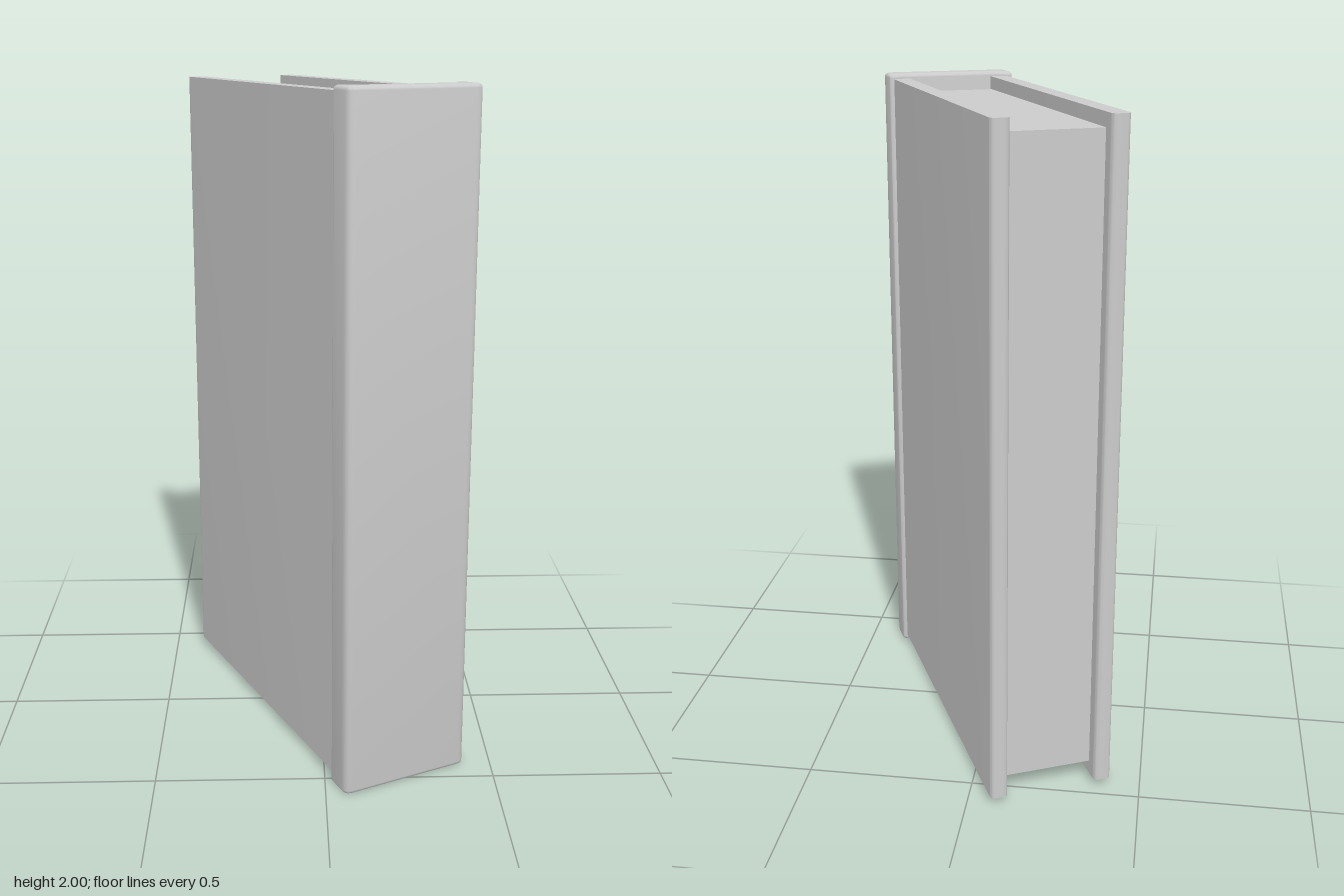
import * as THREE from 'three';
import { toCreasedNormals } from 'three/addons/utils/BufferGeometryUtils.js';

const material = new THREE.MeshStandardMaterial({ color: 0xcccccc });

// Rounded outline in plan: corners are [x, z, radius]
function planShape(corners) {
  const pts = corners.map(([x, z, r]) => ({ p: new THREE.Vector2(x, -z), r }));
  const shape = new THREE.Shape();
  pts.forEach(({ p, r }, i) => {
    const toward = (q) => p.clone().add(q.clone().sub(p).setLength(r));
    const a = toward(pts[(i + pts.length - 1) % pts.length].p);
    const b = toward(pts[(i + 1) % pts.length].p);
    if (i === 0) shape.moveTo(a.x, a.y); else shape.lineTo(a.x, a.y);
    if (r > 0) shape.quadraticCurveTo(p.x, p.y, b.x, b.y);
  });
  shape.closePath();
  return shape;
}

// Upright prism from y0 to y1, with an optional rounded rim
function upright(name, corners, y0, y1, bevel = 0) {
  let geo = new THREE.ExtrudeGeometry(planShape(corners), {
    depth: y1 - y0 - 2 * bevel,
    curveSegments: 5,
    bevelEnabled: bevel > 0,
    bevelSize: bevel,
    bevelThickness: bevel,
    bevelOffset: -bevel,
    bevelSegments: 4,
  });
  geo.rotateX(-Math.PI / 2);
  geo.translate(0, y0 + bevel, 0);
  geo = toCreasedNormals(geo, 0.6);
  const mesh = new THREE.Mesh(geo, material);
  mesh.name = name;
  return mesh;
}

export function createModel() {
  const book = new THREE.Group();
  book.name = 'book';

  // Cover boards, rounded along the fore-edge
  for (const [name, s] of [['leftCover', 1], ['rightCover', -1]]) {
    const corners = [
      [s * 0.135, 0.5, 0],
      [s * 0.188, 0.5, 0],
      [s * 0.188, -0.576, 0.018],
      [s * 0.135, -0.576, 0.018],
    ];
    if (s < 0) corners.reverse();
    book.add(upright(name, corners, 0.02, 1.985));
  }

  // Page block, recessed on three sides
  const pages = new THREE.Mesh(new THREE.BoxGeometry(0.272, 1.885, 1.01), material);
  pages.name = 'pages';
  pages.position.set(0, 1.0025, -0.024);
  book.add(pages);

  // Spine with lips that wrap back over the covers
  book.add(upright('spine', [
    [-0.202, 0.566, 0.025],
    [0.202, 0.566, 0.025],
    [0.202, 0.474, 0.014],
    [0.186, 0.474, 0.006],
    [0.15, 0.493, 0.006],
    [-0.15, 0.493, 0.006],
    [-0.186, 0.474, 0.006],
    [-0.202, 0.474, 0.008],
  ], 0, 2, 0.012));

  // The book stands turned a little to its left
  book.rotation.y = THREE.MathUtils.degToRad(25);
  const model = new THREE.Group();
  model.name = 'standingBook';
  model.add(book);
  return model;
}
